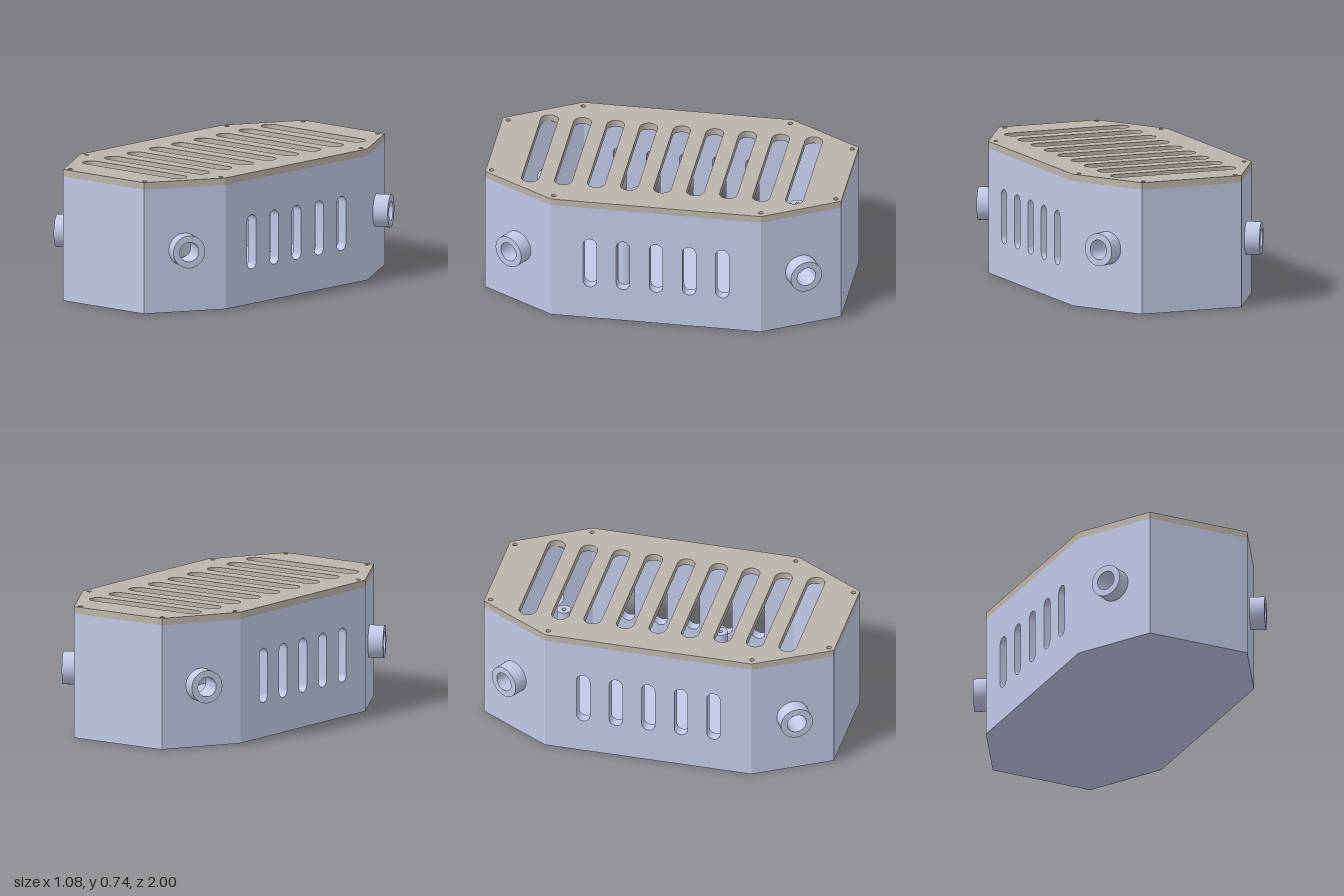
import * as THREE from 'three';
import { toCreasedNormals } from 'three/addons/utils/BufferGeometryUtils.js';

const WALL = 0.06, BODY_TOP = 0.70, TOP = 0.74, FLOOR = 0.06;
const bodyMat = new THREE.MeshStandardMaterial({ color: 0xc2c8e6 });
const lidMat = new THREE.MeshStandardMaterial({ color: 0xbab5ac });

// Octagon corners (x, z), running from the front towards +x
const corners = [
  [-0.30, 1], [0.30, 1], [0.54, 0.59], [0.54, -0.59],
  [0.30, -1], [-0.30, -1], [-0.54, -0.59], [-0.54, 0.59],
].map(([x, z]) => new THREE.Vector2(x, z));

function part(name, geometry, material) {
  const mesh = new THREE.Mesh(toCreasedNormals(geometry, 0.5), material);
  mesh.name = name;
  return mesh;
}

function circle(x, y, r) {
  const p = new THREE.Path();
  p.absarc(x, y, r, 0, Math.PI * 2, true);
  return p;
}

// Rounded slot centred on x, y; w and h are the full sizes
function slot(x, y, w, h) {
  const p = new THREE.Path(), r = Math.min(w, h) / 2;
  const dx = w / 2 - r, dy = h / 2 - r;
  if (w > h) {
    p.absarc(x + dx, y, r, -Math.PI / 2, Math.PI / 2, false);
    p.absarc(x - dx, y, r, Math.PI / 2, Math.PI * 1.5, false);
  } else {
    p.absarc(x, y + dy, r, 0, Math.PI, false);
    p.absarc(x, y - dy, r, Math.PI, Math.PI * 2, false);
  }
  p.closePath();
  return p;
}

// Horizontal plate from y0 up to y1; shape y becomes -z
function plate(points, holes, y0, y1) {
  const shape = new THREE.Shape(points.map(p => new THREE.Vector2(p.x, -p.y)));
  shape.holes.push(...holes);
  const g = new THREE.ExtrudeGeometry(shape, { depth: y1 - y0, bevelEnabled: false, curveSegments: 14 });
  return g.rotateX(-Math.PI / 2).translate(0, y0, 0);
}

// Hollow round part standing on y = 0, open through the bore
function ring(outer, inner, height) {
  const pts = [[inner, 0], [outer, 0], [outer, height], [inner, height], [inner, 0]];
  return new THREE.LatheGeometry(pts.map(p => new THREE.Vector2(...p)), 40);
}

export function createModel() {
  const model = new THREE.Group();
  model.name = 'ventedEnclosure';
  const n = corners.length;
  const heading = i => {
    const d = corners[(i + 1) % n].clone().sub(corners[i % n]);
    return Math.atan2(-d.y, d.x);
  };
  const mitre = (a, b) => {
    const turn = Math.atan2(Math.sin(b - a), Math.cos(b - a));
    return WALL * Math.tan(turn / 2);
  };
  const inner = [];

  // Walls: mitred panels, with vents on the long sides and ports on the diagonals
  corners.forEach((p, i) => {
    const q = corners[(i + 1) % n], half = p.distanceTo(q) / 2, a = heading(i);
    const cutStart = mitre(heading(i + n - 1), a), cutEnd = mitre(a, heading(i + 1));
    const isPort = i % 2 === 1, isVent = i === 2 || i === 6;
    const shape = new THREE.Shape([
      new THREE.Vector2(-half, 0), new THREE.Vector2(half, 0),
      new THREE.Vector2(half, BODY_TOP), new THREE.Vector2(-half, BODY_TOP),
    ]);
    if (isVent) for (let k = -2; k <= 2; k++) shape.holes.push(slot(k * 0.186, 0.35, 0.075, 0.305));
    if (isPort) shape.holes.push(circle(0, 0.35, 0.055));
    const g = new THREE.ExtrudeGeometry(shape, { depth: WALL, bevelEnabled: false, curveSegments: 20 });
    g.translate(0, 0, -WALL);
    const pos = g.attributes.position;
    for (let v = 0; v < pos.count; v++) {
      if (pos.getZ(v) > -WALL / 2) continue;
      const x = pos.getX(v);
      if (x < -half + 1e-4) pos.setX(v, x + cutStart);
      else if (x > half - 1e-4) pos.setX(v, x - cutEnd);
    }
    const side = new THREE.Group();
    side.name = isPort ? 'cornerWall' : isVent ? 'ventedSideWall' : 'endWall';
    side.add(part('wallPanel', g, bodyMat));
    if (isPort) {
      const port = part('pipePort', ring(0.092, 0.055, 0.084).rotateX(Math.PI / 2), bodyMat);
      port.position.y = 0.35;
      side.add(port);
    }
    side.position.set((p.x + q.x) / 2, 0, (p.y + q.y) / 2);
    side.rotation.y = a;
    model.add(side);

    // Inner corner of the mitre, used by the floor
    inner.push(new THREE.Vector2(
      p.x + Math.cos(a) * cutStart - Math.sin(a) * WALL,
      p.y - Math.sin(a) * cutStart - Math.cos(a) * WALL));
  });

  model.add(part('floor', plate(inner, [], 0, FLOOR), bodyMat));

  // Mounting posts inside
  for (const x of [-0.21, 0.21]) for (const z of [0.225, -0.67]) {
    const post = part('mountingPost', ring(0.04, 0.012, 0.4 - FLOOR), bodyMat);
    post.position.set(x, FLOOR, z);
    model.add(post);
  }

  // Lid with nine slots and eight screw holes
  const holes = [];
  for (let k = -4; k <= 4; k++) holes.push(slot(0, k * 0.1855, 0.745, 0.098));
  for (const sx of [-1, 1]) for (const sz of [-1, 1]) {
    holes.push(circle(sx * 0.278, sz * 0.967, 0.013), circle(sx * 0.499, sz * 0.582, 0.013));
  }
  model.add(part('slottedLid', plate(corners, holes, BODY_TOP, TOP), lidMat));
  return model;
}
